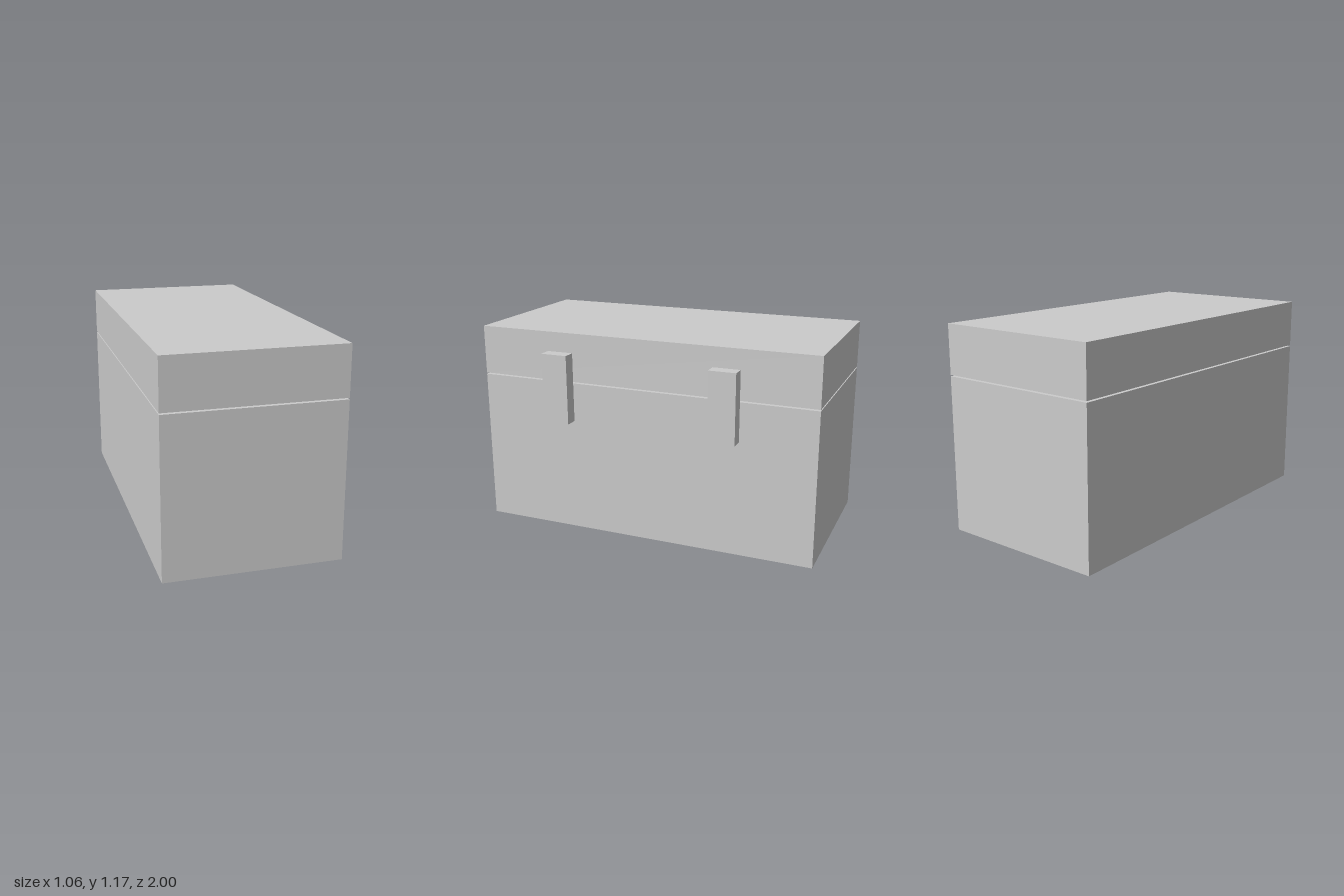
import * as THREE from 'three';

export function createModel() {
  const group = new THREE.Group();
  const material = new THREE.MeshStandardMaterial({ color: 0xcccccc });

  // Adds a box spanning the given ranges
  function addBox(name, [x0, x1], [y0, y1], [z0, z1]) {
    const mesh = new THREE.Mesh(new THREE.BoxGeometry(x1 - x0, y1 - y0, z1 - z0), material);
    mesh.position.set((x0 + x1) / 2, (y0 + y1) / 2, (z0 + z1) / 2);
    mesh.name = name;
    group.add(mesh);
  }

  // Chest body and lid, separated by a thin seam
  const width = [-0.53, 0.448];
  addBox('chestBody', width, [0, 0.885], [-1, 1]);
  addBox('lid', width, [0.893, 1.173], [-1, 1]);

  // Two latches standing just off the +x side, across the seam
  for (const [name, z] of [['frontLatch', 0.495], ['backLatch', -0.495]]) {
    addBox(name, [0.456, 0.53], [0.664, 1.062], [z - 0.077, z + 0.077]);
  }

  return group;
}
